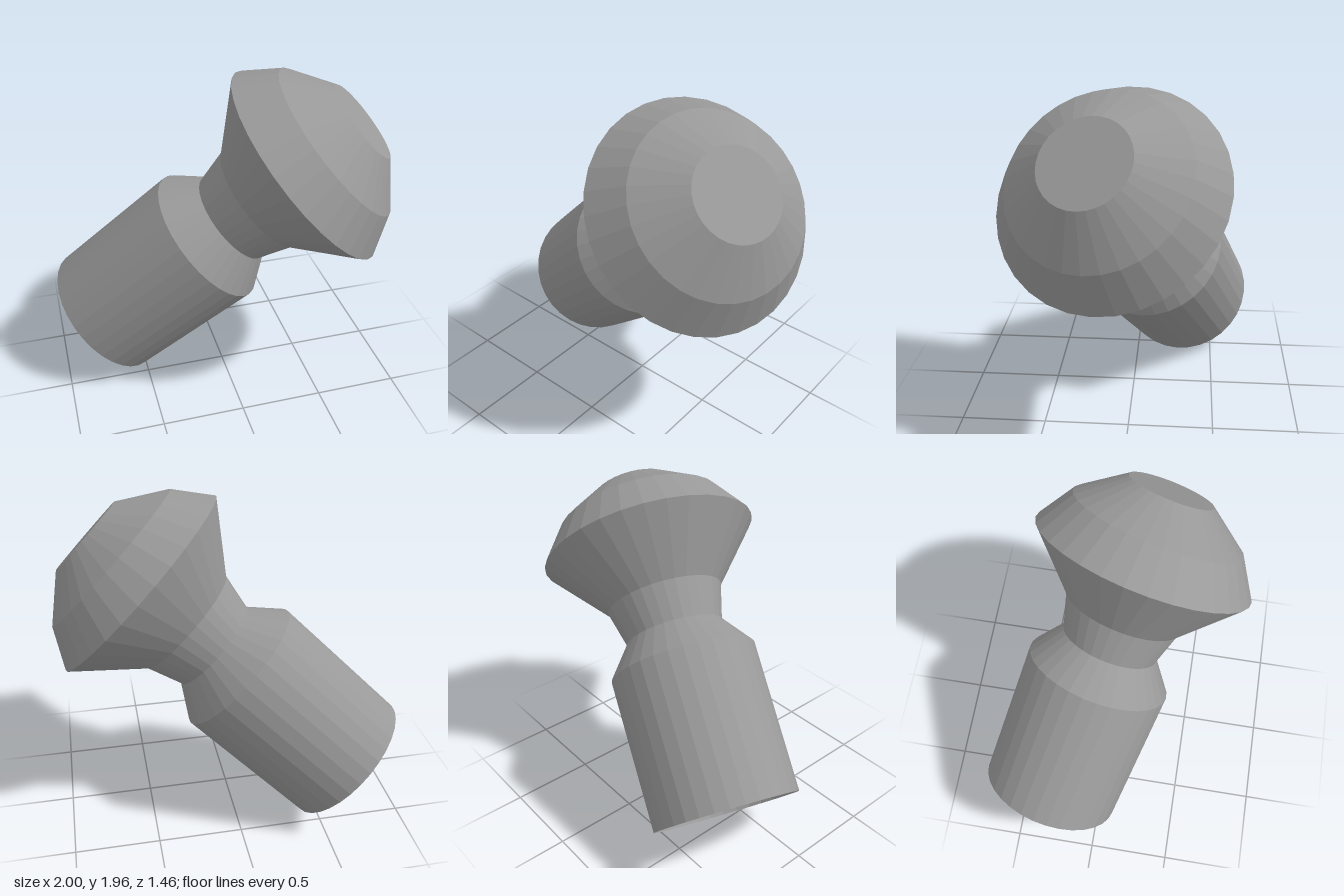
import * as THREE from 'three';

const SIDES = 32;

export function createModel() {
  const model = new THREE.Group();
  const material = new THREE.MeshStandardMaterial({
    color: 0x999999, flatShading: true, side: THREE.DoubleSide,
  });

  // The turned knob is built upright, then leaned over along its axis
  const knob = new THREE.Group();
  knob.name = 'knob';
  const foot = new THREE.Vector3(-0.697, 0.322, -0.31);
  const axis = new THREE.Vector3(1.465, 1.385, 0.50).normalize();
  knob.position.copy(foot);
  knob.quaternion.setFromUnitVectors(new THREE.Vector3(0, 1, 0), axis);
  model.add(knob);

  // Each part is a turned profile of [radius, height] pairs
  const turned = (name, profile) => {
    const points = profile.map(([r, h]) => new THREE.Vector2(r, h));
    const mesh = new THREE.Mesh(new THREE.LatheGeometry(points, SIDES), material);
    mesh.name = name;
    knob.add(mesh);
  };

  turned('stem', [[0.432, 0], [0.443, 0.905]]); // open at the bottom
  turned('shoulder', [[0.443, 0.905], [0.297, 1.10]]);
  turned('neck', [[0.297, 1.10], [0.356, 1.322]]);
  turned('headUnderside', [[0.356, 1.322], [0.66, 1.673]]);
  turned('headDome', [[0.66, 1.673], [0.515, 1.89], [0.255, 2.077]]);
  turned('headCap', [[0.255, 2.077], [0, 2.077]]);

  return model;
}
